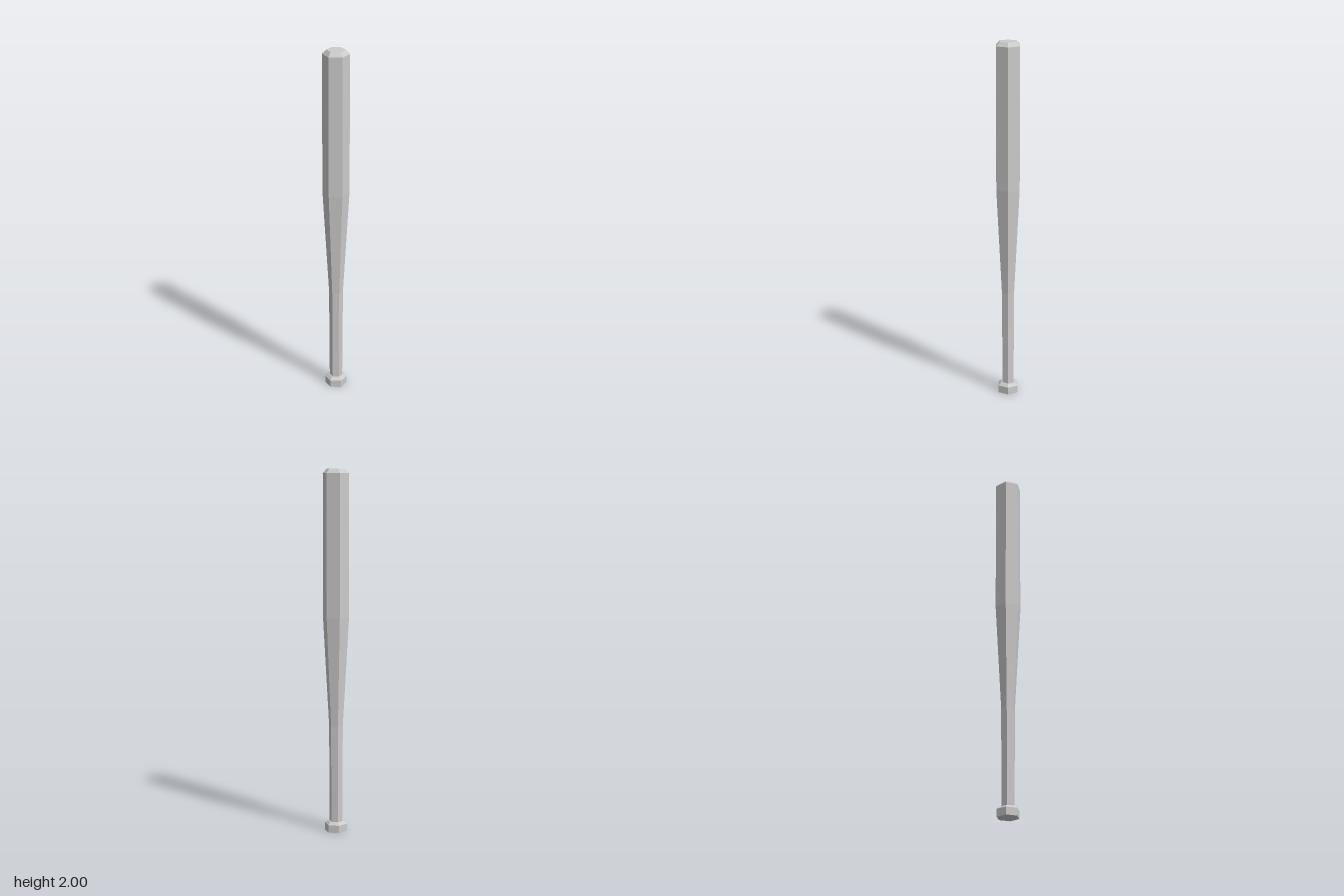
import * as THREE from 'three';

const SIDES = 6;

export function createModel() {
  const group = new THREE.Group();
  group.name = 'bat';
  const material = new THREE.MeshStandardMaterial({ color: 0xcccccc, flatShading: true });

  // Six-sided turned part from [radius, height] pairs, bottom to top, with corners on the x axis
  function turned(name, profile) {
    const points = profile.map(([r, y]) => new THREE.Vector2(r, y));
    const mesh = new THREE.Mesh(new THREE.LatheGeometry(points, SIDES, Math.PI / 6), material);
    mesh.name = name;
    group.add(mesh);
  }

  // Knob with a bevelled upper edge
  turned('knob', [[0, 0], [0.062, 0], [0.062, 0.042], [0.044, 0.056], [0.036, 0.056]]);

  // Slim grip
  turned('handle', [[0.036, 0.056], [0.039, 0.6]]);

  // Taper widening into the straight barrel, closed by a bevelled end
  turned('barrel', [[0.039, 0.6], [0.073, 1.2], [0.073, 1.978], [0.051, 2], [0, 2]]);

  return group;
}
